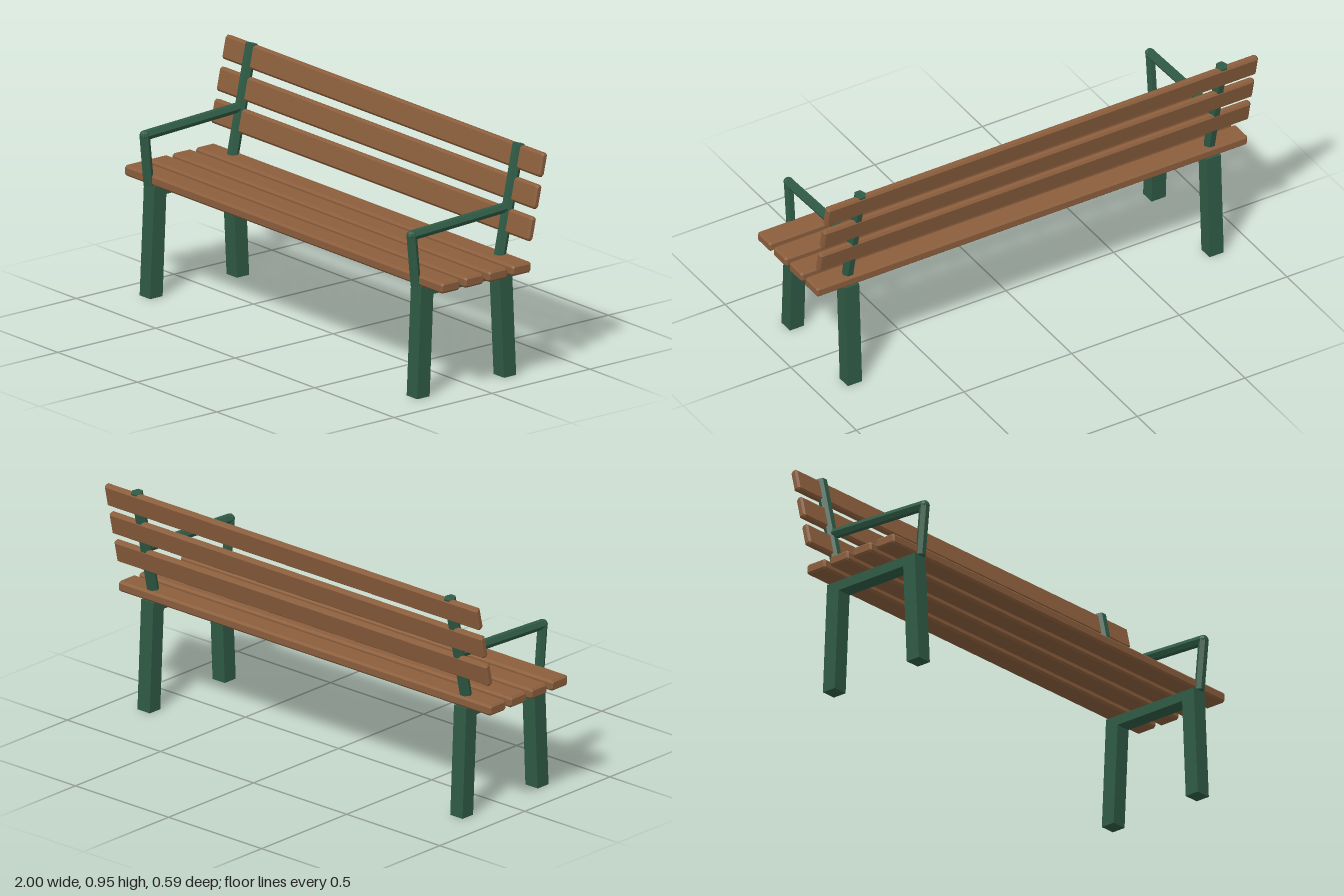
import * as THREE from 'three';

const wood = new THREE.MeshStandardMaterial({ color: 0x8b5e3c });
wood.name = 'wood';
const green = new THREE.MeshStandardMaterial({ color: 0x2f5a45 });
green.name = 'green paint';

// Faceted look: split shared vertices so every face has its own normal
function flat(geometry) {
  const g = geometry.index ? geometry.toNonIndexed() : geometry;
  g.computeVertexNormals();
  return g;
}

// Plank running along x, chamfered on every edge
function slatGeometry(height, depth, length = 2, c = 0.008) {
  const y = height / 2 - c, z = depth / 2 - c, k = 0.004;
  const shape = new THREE.Shape([
    [-z + k, -y], [z - k, -y], [z, -y + k], [z, y - k],
    [z - k, y], [-z + k, y], [-z, y - k], [-z, -y + k],
  ].map(([a, b]) => new THREE.Vector2(a, b)));
  const g = new THREE.ExtrudeGeometry(shape, {
    depth: length - 2 * c, bevelEnabled: true, bevelSize: c, bevelThickness: c, bevelSegments: 1,
  });
  g.translate(0, 0, -length / 2 + c).rotateY(-Math.PI / 2);
  return flat(g);
}

// Hexagonal bar between two (z, y) points
function bar(name, [z0, y0], [z1, y1], radius) {
  const dz = z1 - z0, dy = y1 - y0;
  const g = new THREE.CylinderGeometry(radius, radius, Math.hypot(dz, dy), 6, 1, false, Math.PI / 2);
  const mesh = new THREE.Mesh(flat(g), green);
  mesh.name = name;
  mesh.rotation.x = Math.atan2(dz, dy);
  mesh.position.set(0, (y0 + y1) / 2, (z0 + z1) / 2);
  return mesh;
}

// One end support: legs, back post and armrest
function endSupport(name, x) {
  const group = new THREE.Group();
  group.name = name;
  group.position.x = x;

  // Splayed legs and cross rail in one profile
  const shape = new THREE.Shape([
    [0.279, 0], [0.257, 0.463], [-0.205, 0.463], [-0.227, 0],
    [-0.165, 0], [-0.144, 0.422], [0.196, 0.422], [0.215, 0],
  ].map(([z, y]) => new THREE.Vector2(z, y)));
  const width = 0.066;
  const g = new THREE.ExtrudeGeometry(shape, { depth: width, bevelEnabled: false });
  g.translate(0, 0, -width / 2).rotateY(-Math.PI / 2);
  const legs = new THREE.Mesh(g, green);
  legs.name = 'legFrame';

  // Armrest with a knuckle at the front corner
  const corner = [0.28, 0.674];
  const knuckle = new THREE.Mesh(flat(new THREE.SphereGeometry(0.021, 8, 6)), green);
  knuckle.name = 'armrestCorner';
  knuckle.position.set(0, corner[1], corner[0]);

  group.add(
    legs,
    bar('backPost', [-0.161, 0.46], [-0.266, 0.948], 0.0245),
    bar('armrestUpright', [0.259, 0.462], corner, 0.021),
    bar('armrest', corner, [-0.195, 0.695], 0.021),
    knuckle,
  );
  return group;
}

export function createModel() {
  const bench = new THREE.Group();
  bench.name = 'bench';

  bench.add(endSupport('leftSupport', 0.84), endSupport('rightSupport', -0.84));

  // Seat slats
  const seatGeometry = slatGeometry(0.044, 0.098);
  for (let i = 0; i < 4; i++) {
    const slat = new THREE.Mesh(seatGeometry, wood);
    slat.name = `seatSlat${i + 1}`;
    slat.position.set(0, 0.485, 0.208 - i * 0.121);
    bench.add(slat);
  }

  // Leaning back slats
  const backGeometry = slatGeometry(0.098, 0.031);
  for (let i = 0; i < 3; i++) {
    const slat = new THREE.Mesh(backGeometry, wood);
    slat.name = `backSlat${i + 1}`;
    slat.position.set(0, 0.641 + i * 0.1275, -0.207 - i * 0.0285);
    slat.rotation.x = -0.215;
    bench.add(slat);
  }
  return bench;
}
